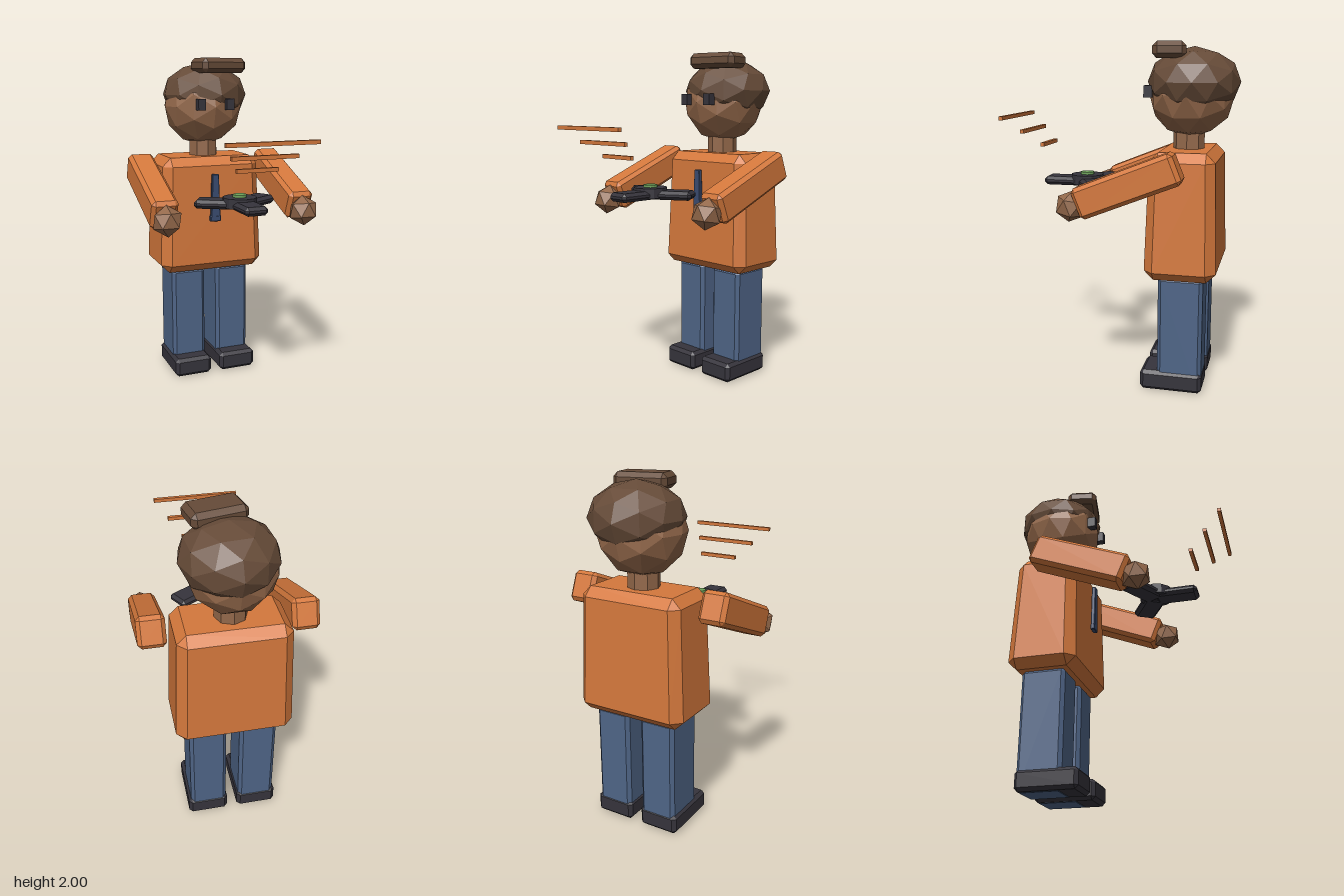
import * as THREE from 'three';
import { ConvexGeometry } from 'three/addons/geometries/ConvexGeometry.js';

const mat = (name, color) => {
  const m = new THREE.MeshStandardMaterial({ color });
  m.name = name;
  return m;
};

// Box with chamfered edges; kx and kz narrow it towards the top
function chamferBox(w, h, d, c, kx = 0, kz = 0) {
  const points = [];
  for (const sx of [-1, 1]) for (const sy of [-1, 1]) for (const sz of [-1, 1])
    for (let full = 0; full < 3; full++) {
      const x = sx * (w / 2 - (full === 0 ? 0 : c));
      const y = sy * (h / 2 - (full === 1 ? 0 : c));
      const z = sz * (d / 2 - (full === 2 ? 0 : c));
      const t = y / (h / 2);
      points.push(new THREE.Vector3(x * (1 - kx * t), y, z * (1 - kz * t)));
    }
  return new ConvexGeometry(points);
}

export function createModel() {
  const root = new THREE.Group();
  root.name = 'figure';

  const orange = mat('orange shirt', 0xd4783c);
  const denim = mat('blue denim', 0x4f6587);
  const navy = mat('navy cloth', 0x3a4c70);
  const dark = mat('charcoal', 0x36343c);
  const skin = mat('brown skin', 0x93684a);
  const hair = mat('dark brown hair', 0x664b38);
  const green = mat('green', 0x6fa35c);
  for (const m of [orange, denim, navy, dark, skin, hair, green]) m.flatShading = true;

  const add = (name, geometry, material, x, y, z, parent = root) => {
    const mesh = new THREE.Mesh(geometry, material);
    mesh.name = name;
    mesh.position.set(x, y, z);
    parent.add(mesh);
    return mesh;
  };

  // Torso and tie
  add('torso', chamferBox(0.644, 0.72, 0.386, 0.052, 0.045, 0.06), orange, 0, 1.045, -0.39);
  add('tie', chamferBox(0.052, 0.27, 0.025, 0.004, 0.2), navy, 0, 1.17, -0.172);
  add('tieEnd', chamferBox(0.068, 0.036, 0.027, 0.004), navy, 0, 1.028, -0.172);

  // Neck, head and hair
  add('neck', new THREE.CylinderGeometry(0.09, 0.09, 0.16, 8), skin, 0, 1.45, -0.39);
  add('head', new THREE.IcosahedronGeometry(0.245, 1), skin, 0, 1.71, -0.4);
  const cap = add('hair', new THREE.IcosahedronGeometry(0.262, 1), hair, 0.018, 1.78, -0.415);
  cap.scale.y = 0.745;
  cap.rotation.y = 0.08;
  const bun = add('topKnot', chamferBox(0.305, 0.09, 0.185, 0.026), hair, 0.06, 1.955, -0.275);
  bun.rotation.y = 0.2;

  // Paired parts
  for (const [side, s] of [['left', 1], ['right', -1]]) {
    add(side + 'Eye', new THREE.BoxGeometry(0.047, 0.066, 0.05), dark, s * 0.09, 1.727, -0.168);
    add(side + 'Leg', chamferBox(0.216, 0.69, 0.258, 0.02), denim, s * 0.147, 0.345, -0.39);
    add(side + 'Shoe', chamferBox(0.238, 0.118, 0.36, 0.02), dark, s * 0.15, 0.062, -0.343);

    const arm = new THREE.Group();
    arm.name = side + 'Arm';
    arm.position.set(s * 0.42, 1.243, -0.123);
    arm.rotation.x = -1.19;
    root.add(arm);
    add(side + 'Sleeve', chamferBox(0.156, 0.59, 0.178, 0.022), orange, 0, 0, 0, arm);
    add(side + 'Hand', new THREE.IcosahedronGeometry(0.09, 0), skin, 0, -0.34, 0, arm);
  }

  // Three-armed spinner held in front of the chest
  const spinner = new THREE.Group();
  spinner.name = 'spinner';
  spinner.position.set(0, 1.19, 0.22);
  root.add(spinner);
  const bladeGeometry = chamferBox(0.136, 0.05, 0.255, 0.018).translate(0, 0, 0.1275);
  for (let i = 0; i < 3; i++)
    add('spinnerBlade', bladeGeometry, dark, 0, 0, 0, spinner).rotation.y = (i * Math.PI * 2) / 3;
  add('spinnerHub', new THREE.CylinderGeometry(0.098, 0.098, 0.056, 12), dark, 0, 0.012, 0, spinner);
  add('spinnerButton', new THREE.CylinderGeometry(0.04, 0.04, 0.04, 14), green, 0, 0.035, 0, spinner);

  // Floating bars that widen as they rise away
  for (let i = 0; i < 3; i++)
    add('floatingBar', new THREE.BoxGeometry(0.24 + i * 0.14, 0.022, 0.022), orange,
      0, 1.413 + i * 0.08, 0.46 + i * 0.099);

  return root;
}
